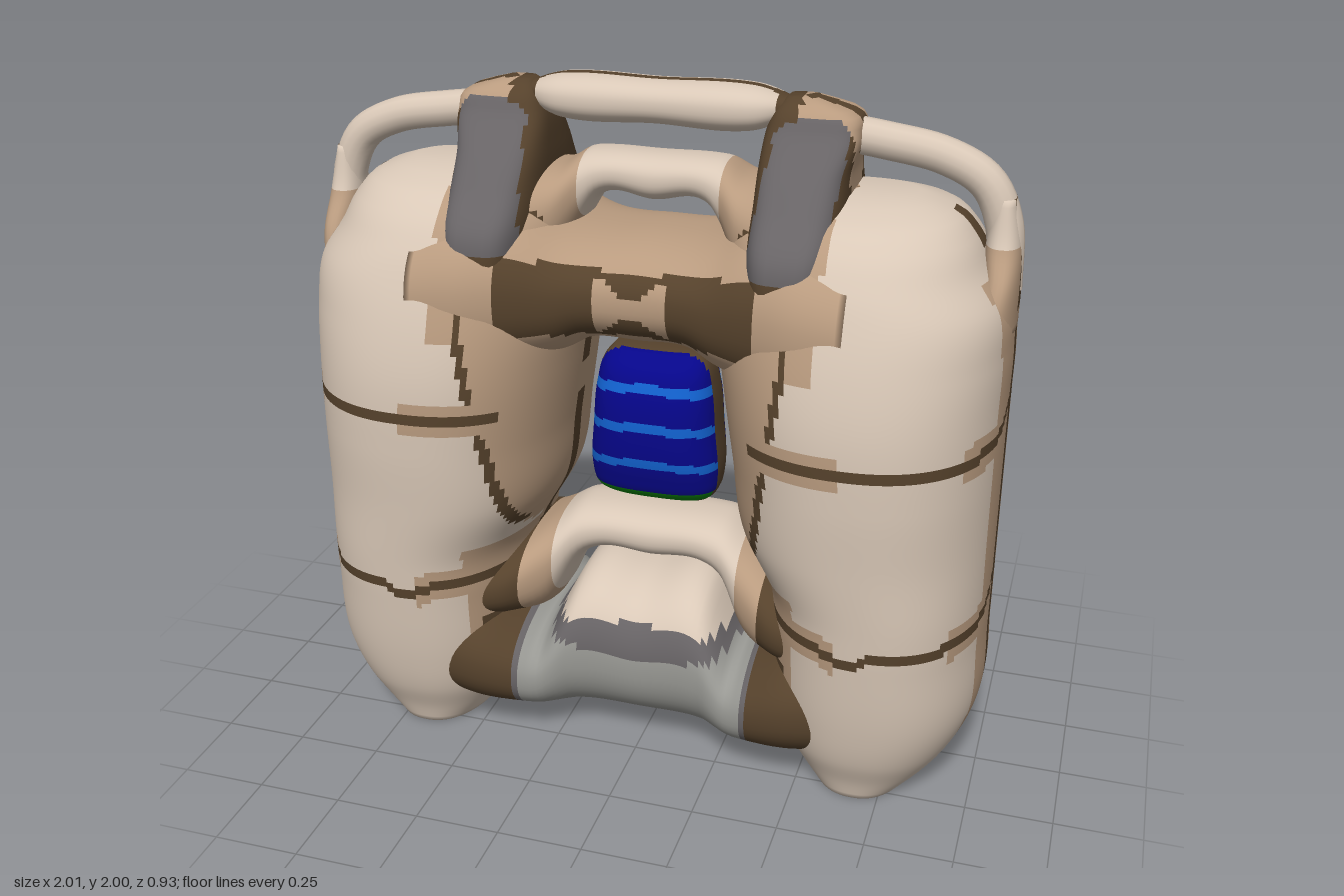
import * as THREE from 'three';

const material = (name, color) => {
  const m = new THREE.MeshStandardMaterial({ color });
  m.name = name;
  return m;
};
const LIGHT = 0, TAN = 1, BROWN = 2, SLATE = 3, GREY = 4, NAVY = 5, BLUE = 6, GREEN = 7;
const materials = [
  material('cream fabric', 0xd9c8b7), material('tan fabric', 0xb99b7f),
  material('brown seam', 0x56422c), material('slate strap', 0x686466),
  material('grey patch', 0x999994), material('navy panel', 0x06068a),
  material('blue stripe', 0x1263d2), material('green strip', 0x068506)
];

// Closed loft. Stations are [position along axis, low edge, high edge, half depth];
// sections are superellipses. rule(|x|, y, |z|) picks the material of each face.
function loft(name, axis, stations, rule, { rows = 50, segs = 64, power = 2.3, side = 1 } = {}) {
  const spline = new THREE.CubicInterpolant(
    stations.map(s => s[0]), stations.flatMap(s => s.slice(1)), 3, new Float32Array(3));
  const first = stations[0][0], last = stations[stations.length - 1][0];
  const pos = [];
  const put = (t, a, z) => (axis === 'y' ? pos.push(side * a, t, z) : pos.push(t, a, z));
  const bend = v => Math.sign(v) * Math.abs(v) ** (2 / power);
  for (let i = 0; i <= rows; i++) {
    const t = first + (last - first) * i / rows;
    const [lo, hi, depth] = spline.evaluate(t);
    for (let j = 0; j < segs; j++) {
      const q = j / segs * Math.PI * 2;
      put(t, (lo + hi) / 2 + (hi - lo) / 2 * bend(Math.cos(q)), depth * bend(Math.sin(q)));
    }
  }
  // End cap centres
  const capA = pos.length / 3, capB = capA + 1;
  for (const s of [stations[0], stations[stations.length - 1]]) put(s[0], (s[1] + s[2]) / 2, 0);

  const buckets = materials.map(() => []);
  const flip = (axis === 'y') === (side > 0);
  const face = (corners, tris) => {
    const mid = k => corners.reduce((sum, c) => sum + pos[c * 3 + k], 0) / corners.length;
    const bucket = buckets[rule(Math.abs(mid(0)), mid(1), Math.abs(mid(2)))];
    for (const [a, b, c] of tris) bucket.push(a, ...(flip ? [c, b] : [b, c]));
  };
  for (let i = 0; i < rows; i++) {
    for (let j = 0; j < segs; j++) {
      const k = (j + 1) % segs;
      const a = i * segs + j, b = i * segs + k, c = a + segs, d = b + segs;
      face([a, b, c, d], [[a, b, c], [b, d, c]]);
      if (i === 0) face([a, b, capA], [[b, a, capA]]);
      if (i === rows - 1) face([c, d, capB], [[c, d, capB]]);
    }
  }
  const geo = new THREE.BufferGeometry();
  geo.setAttribute('position', new THREE.Float32BufferAttribute(pos, 3));
  geo.setIndex(buckets.flat());
  let start = 0;
  buckets.forEach((b, m) => {
    if (b.length) geo.addGroup(start, b.length, m);
    start += b.length;
  });
  geo.computeVertexNormals();
  const mesh = new THREE.Mesh(geo, materials);
  mesh.name = name;
  return mesh;
}

// Mirrors half of a left-right symmetric station list
const both = half => [
  ...half.slice(1).reverse().map(([x, ...rest]) => [-x, ...rest]), ...half];

// Seams and shaded patches on the inflated side columns
function columnColour(x, y, z) {
  const rise = x > 0.8 ? 0.13 * Math.exp(-z / 0.09) : 0;
  const dip = 0.04 * Math.exp(-(((x - 0.65) / 0.06) ** 2));
  const ring = Math.min(Math.abs(y - 1.11 - rise), Math.abs(y - 0.56 - rise + dip));
  const line = y > 1.35 ? 0.45 : 0.36 + (y - 0.75) * 0.15;
  if (x > 0.8 && z < 0.03 && y > 0.1) return BROWN;
  if (x > 0.36 && ring < 0.016) return BROWN;
  if (x > 0.8 && z < 0.16 && y > 0.17 && y < 1.56) return TAN;
  if (ring < 0.05 && (x < 0.62 || x > 0.92)) return TAN;
  if (y > 0.72 && y < 1.7 && Math.abs(x - line) < 0.012) return BROWN;
  if (x < 0.5 && z < 0.04 && y > 0.6) return BROWN;
  if (y > 0.65 && x < line) return TAN;
  if (y > 1.33 && x < 0.53) return TAN;
  if (y > 0.06 && y < 0.42 && x < 0.46) return BROWN;
  if (y > 0.06 && y < 0.66 && x < 0.49) return TAN;
  return LIGHT;
}

function upperBarColour(x, y, z) {
  if (z < 0.12) return y < 1.4 ? LIGHT : TAN;
  if (x < 0.1 && Math.abs(y - 1.43) < 0.055 - 0.03 * Math.cos(x * 30)) return TAN;
  if (y > 1.34 && y < 1.52 + x * 0.1 && x < 0.36) return BROWN;
  return TAN;
}

function lowerBlockColour(x, y, z) {
  if (y < 0.09 || x > 0.36 - Math.max(0, 0.14 - y) * 0.4) return BROWN;
  if (y < 0.32 + x * 0.2) return x > 0.34 ? SLATE : GREY;
  if (y < 0.44 - x * 0.08) return SLATE;
  return LIGHT;
}

function strapColour(x, y, z) {
  if (z < 0.025 || (z < 0.1 && x < 0.4)) return BROWN;
  if (z < 0.09) return TAN;
  const shift = (y - 1.7) * 0.1;
  if (y > 1.57 && x > 0.325 + shift && x < 0.525 + shift) return SLATE;
  return BROWN;
}

function panelColour(x, y, z) {
  if (z < 0.045) return BROWN;
  if (y < 0.805) return GREEN;
  const curve = y + x * x * 0.5;
  return [0.91, 1.025, 1.14].some(s => Math.abs(curve - s) < 0.014) ? BLUE : NAVY;
}

export function createModel() {
  const model = new THREE.Group();
  model.name = 'inflatable pack';

  for (const side of [1, -1]) {
    const half = new THREE.Group();
    half.name = side > 0 ? 'leftSide' : 'rightSide';

    // Inflated column
    half.add(loft('column', 'y', [
      [0, 0.52, 0.83, 0.3], [0.06, 0.47, 0.89, 0.32], [0.15, 0.42, 0.95, 0.36],
      [0.27, 0.39, 0.995, 0.39], [0.5, 0.38, 1, 0.42], [0.62, 0.37, 1, 0.43],
      [0.8, 0.28, 1, 0.445], [1, 0.25, 1, 0.46], [1.2, 0.22, 1, 0.46], [1.35, 0.2, 1, 0.435],
      [1.48, 0.2, 0.985, 0.395], [1.57, 0.21, 0.925, 0.355], [1.66, 0.24, 0.875, 0.29],
      [1.71, 0.29, 0.82, 0.22], [1.745, 0.4, 0.72, 0.1]
    ], columnColour, { rows: 110, segs: 144, side }));

    // Shoulder strap, tapering up to the ridge
    half.add(loft('shoulderStrap', 'y', [
      [1.5, 0.31, 0.54, 0.36], [1.62, 0.3, 0.55, 0.345], [1.72, 0.3, 0.55, 0.265],
      [1.8, 0.3, 0.55, 0.2], [1.9, 0.31, 0.565, 0.115], [1.95, 0.33, 0.54, 0.085],
      [1.98, 0.36, 0.44, 0.04]
    ], strapColour, { rows: 36, segs: 48, power: 3.5, side }));

    // Side handle and its flared root
    const path = new THREE.CatmullRomCurve3([
      [0.5, 1.89], [0.62, 1.875], [0.78, 1.845], [0.89, 1.785], [0.942, 1.68], [0.955, 1.5]
    ].map(([x, y]) => new THREE.Vector3(side * x, y, 0)));
    const handle = new THREE.Mesh(
      new THREE.TubeGeometry(path, 32, 0.05, 14), materials[LIGHT]);
    handle.name = 'sideHandle';
    half.add(handle);
    half.add(loft('handleRoot', 'y', [
      [1.4, 0.84, 1, 0.18], [1.53, 0.9, 1, 0.14], [1.62, 0.9, 0.995, 0.08], [1.75, 0.92, 0.97, 0.045]
    ], (x, y, z) => (z < 0.02 ? BROWN : y < 1.62 ? TAN : LIGHT),
    { rows: 20, segs: 32, side }));
    model.add(half);
  }

  // Bars joining the columns
  model.add(loft('upperBar', 'x', both([
    [0, 1.28, 1.6, 0.28], [0.15, 1.28, 1.6, 0.3], [0.22, 1.24, 1.62, 0.32],
    [0.32, 1.2, 1.67, 0.355], [0.45, 1.16, 1.7, 0.4], [0.6, 1.15, 1.68, 0.41]
  ]), upperBarColour, { rows: 70 }));

  model.add(loft('crossBar', 'x', both([
    [0, 0.575, 0.725, 0.13], [0.17, 0.575, 0.725, 0.135], [0.23, 0.53, 0.715, 0.15],
    [0.3, 0.39, 0.67, 0.2], [0.4, 0.36, 0.61, 0.28], [0.5, 0.35, 0.6, 0.32]
  ]), x => (x > 0.37 ? BROWN : x > 0.28 ? TAN : LIGHT), { rows: 60, segs: 48 }));

  model.add(loft('lowerBlock', 'x', both([
    [0, 0.065, 0.53, 0.28], [0.2, 0.065, 0.53, 0.295], [0.24, 0.065, 0.46, 0.31],
    [0.29, 0.065, 0.375, 0.325], [0.36, 0.065, 0.4, 0.35], [0.47, 0.065, 0.45, 0.37],
    [0.6, 0.08, 0.45, 0.35]
  ]), lowerBlockColour, { rows: 70 }));

  // Carry handles
  model.add(loft('middleHandle', 'x', both([
    [0, 1.67, 1.8, 0.1], [0.16, 1.67, 1.8, 0.105], [0.2, 1.61, 1.795, 0.12],
    [0.26, 1.5, 1.76, 0.18], [0.36, 1.48, 1.75, 0.24]
  ]), (x, y) => (x < 0.2 ? LIGHT : x > 0.27 && y < 1.65 ? BROWN : TAN),
  { rows: 50, segs: 48 }));

  model.add(loft('topHandle', 'x', both([
    [0, 1.88, 2, 0.09], [0.27, 1.88, 2, 0.09], [0.315, 1.895, 1.99, 0.075],
    [0.36, 1.92, 1.975, 0.05], [0.42, 1.92, 1.97, 0.05]
  ]), (x, y, z) => ((y > 1.94 && z < 0.018) || x > 0.34 ? BROWN : LIGHT),
  { rows: 50, segs: 48 }));

  // Striped centre panel
  model.add(loft('centrePanel', 'y', [
    [0.765, -0.155, 0.155, 0.06], [0.79, -0.18, 0.18, 0.1], [0.85, -0.195, 0.195, 0.13],
    [1, -0.187, 0.187, 0.15], [1.13, -0.175, 0.175, 0.135], [1.2, -0.155, 0.155, 0.1],
    [1.23, -0.13, 0.13, 0.05]
  ], panelColour, { rows: 64, segs: 56, power: 2.8 }));

  return model;
}
